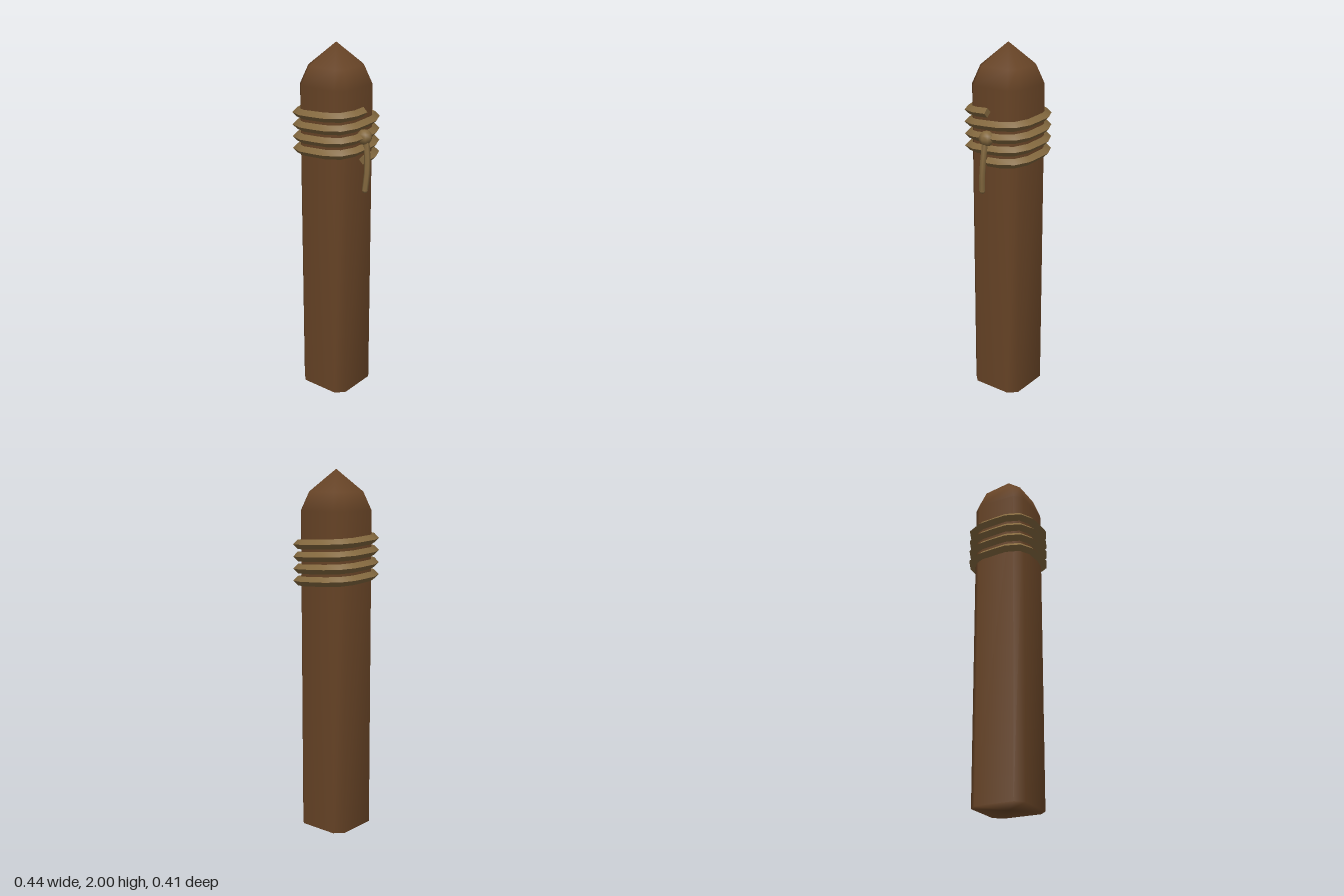
import * as THREE from 'three';
import { toCreasedNormals } from 'three/addons/utils/BufferGeometryUtils.js';

const CX = -0.0135; // the post axis sits slightly off centre
const wood = new THREE.MeshStandardMaterial({ color: 0x694527 });
const ropeMat = new THREE.MeshStandardMaterial({ color: 0x84693f });

// Skin a list of rings (arrays of Vector3) into a closed solid with fan caps
function loft(rings, startTip, endTip) {
  const n = rings[0].length;
  const pts = [...rings.flat(), startTip, endTip];
  const s = pts.length - 2, e = pts.length - 1, last = (rings.length - 1) * n;
  const index = [];
  for (let i = 0; i < rings.length - 1; i++) {
    for (let j = 0; j < n; j++) {
      const k = (j + 1) % n;
      const a = i * n + j, b = i * n + k, c = b + n, d = a + n;
      index.push(a, b, c, a, c, d);
    }
  }
  for (let j = 0; j < n; j++) {
    const k = (j + 1) % n;
    index.push(s, k, j, e, last + j, last + k);
  }
  const g = new THREE.BufferGeometry().setFromPoints(pts);
  g.setIndex(index);
  g.computeVertexNormals();
  return g;
}

// Square ring with chamfered corners, counter-clockwise from above
function chamferedSquare(y, half, chamfer) {
  const t = half - chamfer, ring = [];
  for (let q = 0; q < 4; q++) {
    for (const v of [-t, t]) {
      ring.push(new THREE.Vector3(half, 0, -v)
        .applyAxisAngle(new THREE.Vector3(0, 1, 0), q * Math.PI / 2)
        .add(new THREE.Vector3(CX, y, 0)));
    }
  }
  return ring;
}

// Rope wound around the post as a rising, rounded-square helix
function ropeGeometry(turns, y0, pitch, r) {
  const radii = [0.181, 0.195, 0.209, 0.195];
  const rings = [], centres = [];
  for (let i = 0; i <= turns * 16; i++) {
    const a = i * Math.PI / 8;
    const out = new THREE.Vector3(Math.cos(a), 0, -Math.sin(a));
    const c = out.clone().multiplyScalar(radii[i % 4]);
    c.x += CX;
    c.y = y0 + pitch * i / 16;
    const ring = [];
    for (let j = 0; j < 4; j++) {
      const p = j * Math.PI / 2;
      ring.push(c.clone().addScaledVector(out, r * Math.cos(p))
        .add(new THREE.Vector3(0, -r * Math.sin(p), 0)));
    }
    rings.push(ring);
    centres.push(c);
  }
  return toCreasedNormals(loft(rings, centres[0], centres[centres.length - 1]), 0.7);
}

export function createModel() {
  const model = new THREE.Group();
  model.name = 'ropedPost';
  const add = (name, geometry, material, parent = model) => {
    const mesh = new THREE.Mesh(geometry, material);
    mesh.name = name;
    parent.add(mesh);
    return mesh;
  };

  // Timber post with a pointed top
  add('post', loft(
    [chamferedSquare(0, 0.156, 0.045), chamferedSquare(1.78, 0.156, 0.045), chamferedSquare(1.88, 0.12, 0.036)],
    new THREE.Vector3(CX, 0, 0), new THREE.Vector3(CX, 2, 0)), wood);

  // Four turns of rope
  add('ropeCoil', ropeGeometry(4, 1.393, 0.066, 0.026), ropeMat);

  // Knot with its hanging tail
  const tie = new THREE.Group();
  tie.name = 'ropeTie';
  model.add(tie);
  const knot = add('knot', new THREE.SphereGeometry(0.042, 8, 6), ropeMat, tie);
  knot.position.set(0.176, 1.522, 0);
  const path = new THREE.CatmullRomCurve3([
    new THREE.Vector3(0.185, 1.52, 0),
    new THREE.Vector3(0.199, 1.42, 0.004),
    new THREE.Vector3(0.203, 1.33, 0.01),
    new THREE.Vector3(0.196, 1.235, 0.017),
  ]);
  add('ropeTail', new THREE.TubeGeometry(path, 6, 0.017, 6), ropeMat, tie);
  const end = add('ropeTailEnd', new THREE.SphereGeometry(0.017, 6, 4), ropeMat, tie);
  end.position.copy(path.getPoint(1));

  return model;
}
